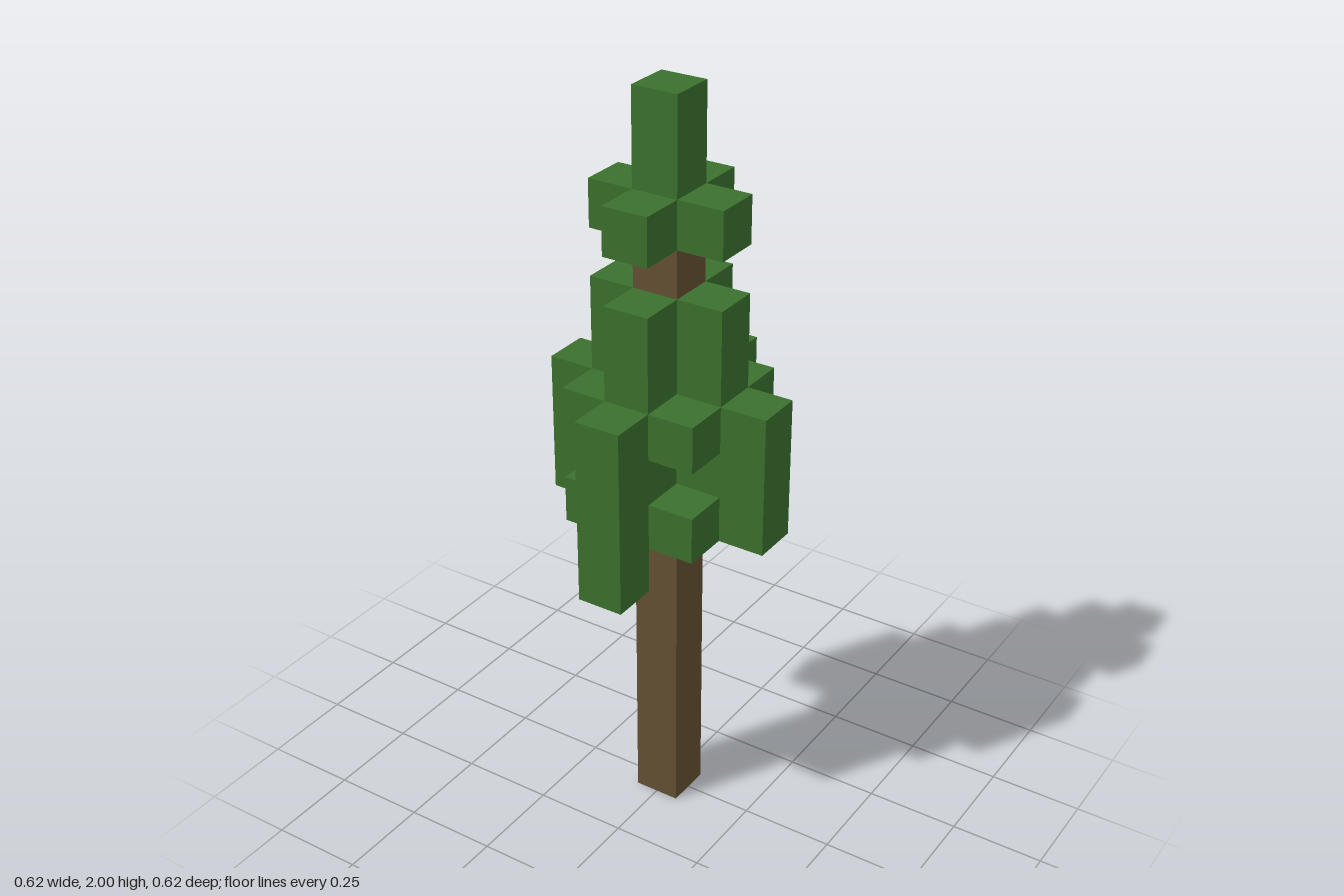
import * as THREE from 'three';

const U = 0.125; // edge length of one block

export function createModel() {
  const tree = new THREE.Group();
  tree.name = 'blockTree';

  const leafGreen = new THREE.MeshStandardMaterial({ color: 0x3b702d });
  leafGreen.name = 'leafGreen';
  const barkBrown = new THREE.MeshStandardMaterial({ color: 0x645033 });
  barkBrown.name = 'barkBrown';

  // One-block-wide column at block (x, z), from layer y0 up to layer y1
  function column(name, material, x, z, y0, y1) {
    const mesh = new THREE.Mesh(new THREE.BoxGeometry(U, (y1 - y0) * U, U), material);
    mesh.position.set(x * U, ((y0 + y1) / 2) * U, z * U);
    mesh.name = name;
    tree.add(mesh);
  }

  // Trunk and leafy tip
  column('trunk', barkBrown, 0, 0, 0, 13);
  column('treeTip', leafGreen, 0, 0, 13, 16);

  // Cross-shaped foliage on four sides; the front branch hangs one block lower
  const sides = [['left', 1, 0], ['right', -1, 0], ['front', 0, 1], ['back', 0, -1]];
  for (const [side, x, z] of sides) {
    column(side + 'InnerLeaves', leafGreen, x, z, 7, 12);
    column(side + 'OuterLeaves', leafGreen, 2 * x, 2 * z, side === 'front' ? 6 : 7, 10);
    column(side + 'TopLeaves', leafGreen, x, z, 13, 14);
  }

  // Corner blocks; the back left corner has no lower one
  for (const x of [-1, 1]) {
    for (const z of [-1, 1]) {
      const corner = (z > 0 ? 'front' : 'back') + (x > 0 ? 'Left' : 'Right');
      column(corner + 'UpperCornerLeaves', leafGreen, x, z, 9, 10);
      if (corner !== 'backLeft') column(corner + 'LowerCornerLeaves', leafGreen, x, z, 7, 8);
    }
  }

  return tree;
}
